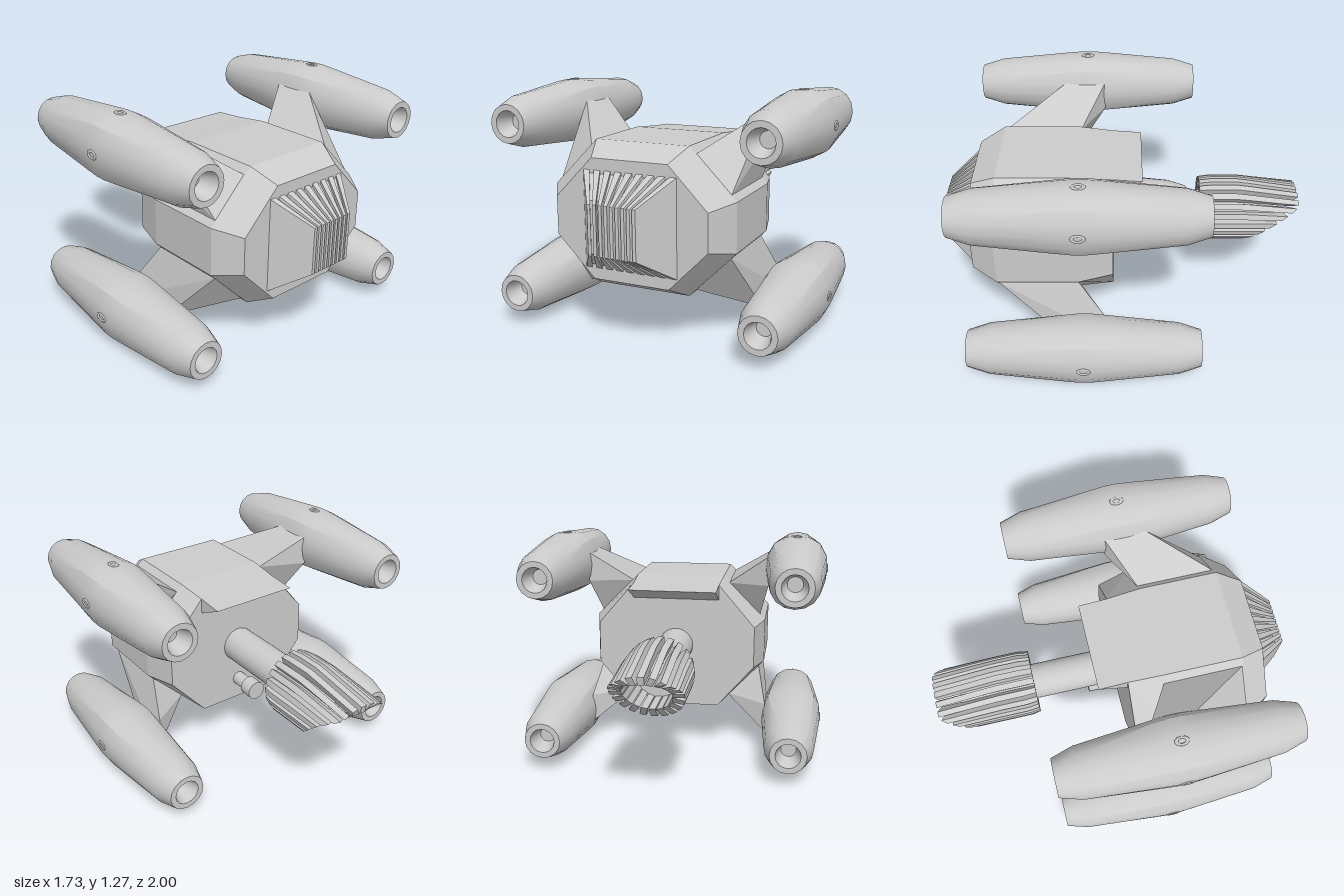
import * as THREE from 'three';
import { toCreasedNormals } from 'three/addons/utils/BufferGeometryUtils.js';
import { ConvexGeometry } from 'three/addons/geometries/ConvexGeometry.js';

const MID = 0.637; // height of the hull axis

export function createModel() {
  const model = new THREE.Group();
  const grey = new THREE.MeshStandardMaterial({ color: 0xcccccc });
  const greyTwoSided = new THREE.MeshStandardMaterial({ color: 0xcccccc, side: THREE.DoubleSide });

  const add = (name, geometry, parent = model, material = grey) => {
    const mesh = new THREE.Mesh(geometry, material);
    mesh.name = name;
    parent.add(mesh);
    return mesh;
  };
  const hull = points => new ConvexGeometry(points.map(p => new THREE.Vector3(...p)));
  // Cylinder lying along z between two depths
  const rod = (r, z0, z1, y, sides = 32) =>
    toCreasedNormals(new THREE.CylinderGeometry(r, r, Math.abs(z1 - z0), sides)
      .rotateX(Math.PI / 2).translate(0, y, (z0 + z1) / 2), 0.6);
  const moveVertices = (geometry, rule) => {
    const pos = geometry.attributes.position;
    const v = new THREE.Vector3();
    for (let i = 0; i < pos.count; i++) {
      rule(v.fromBufferAttribute(pos, i));
      pos.setXYZ(i, v.x, v.y, v.z);
    }
    geometry.computeVertexNormals();
    return geometry;
  };

  // Octagonal body, bevelled at the front and tapering slightly at the back
  const octagon = (a, ah, b, bh, z) => [1, -1].flatMap(sx => [1, -1].flatMap(sy =>
    [[sx * a, MID + sy * ah, z], [sx * b, MID + sy * bh, z]]));
  add('body', hull([
    ...octagon(0.25, 0.365, 0.46, 0.12, 0.05),
    ...octagon(0.26, 0.385, 0.512, 0.13, 0.24),
    ...octagon(0.26, 0.385, 0.512, 0.13, 0.68),
    ...octagon(0.21, 0.315, 0.42, 0.1, 0.82),
  ]));

  // Wedge overhanging the back of the body
  add('rearOverhang', hull([-0.25, 0.25].flatMap(x =>
    [[x, 0.91, 0.06], [x, 1.003, 0.06], [x, 0.99, -0.11]])));

  // Nose: recessed core and a fan of slats between plain cheeks
  const rect = (x, y, z) => [1, -1].flatMap(sx => [1, -1].map(sy => [sx * x, MID + sy * y, z]));
  add('noseCore', hull([...rect(0.25, 0.245, 0.81), ...rect(0.15, 0.135, 0.95)]));
  const nose = new THREE.Group();
  nose.name = 'noseGrille';
  model.add(nose);
  const slats = 9, pitch = 2 / (slats - 0.4);
  for (let i = 0; i < slats; i++) {
    const u0 = -1 + i * pitch, u1 = u0 + pitch * 0.6;
    add('noseSlat', hull([u0, u1].flatMap(u => [1, -1].flatMap(s =>
      [[0.26 * u, MID + s * 0.258, 0.815], [0.13 * u, MID + s * 0.128, 1]]))), nose);
  }

  // Tail tube and the knob below it
  add('tailTube', rod(0.1, 0.06, -0.46, MID));
  add('knobNeck', rod(0.04, 0.06, -0.06, 0.4, 20));
  add('knobHead', rod(0.055, -0.05, -0.13, 0.4, 20));

  // Finned exhaust, cut off at a slant
  const exhaust = new THREE.Group();
  exhaust.name = 'exhaust';
  model.add(exhaust);
  const zStart = -0.44;
  const slantEnd = y => -0.66 - 1.08 * (Math.min(y, 0.77) - 0.455);
  const shapeExhaust = cap => v => {
    // v.z runs from 0 at the front to -1 at the slanted end
    const end = Math.max(slantEnd(v.y + MID), cap);
    v.z = zStart - v.z * (end - zStart);
    const droop = Math.max(0, (-v.z - 0.66) / 0.34);
    v.y = MID + v.y * (v.y > 0 ? 1 - 0.3 * droop : 1);
  };
  const fins = 20;
  const shapeFin = shapeExhaust(-1);
  for (let i = 0; i < fins; i++) {
    const fin = new THREE.BoxGeometry(0.034, 0.062, 1, 1, 1, 8)
      .translate(0, 0.156, -0.5).rotateZ(i / fins * Math.PI * 2);
    add('exhaustFin', toCreasedNormals(moveVertices(fin, v => {
      if (v.z > -0.01) { v.x *= 0.95; v.y *= 0.95; } // bevelled front
      shapeFin(v);
    }), 0.5), exhaust);
  }
  const liner = new THREE.CylinderGeometry(0.14, 0.14, 1, 40, 8, true)
    .rotateX(Math.PI / 2).translate(0, 0, -0.5);
  add('exhaustLiner', moveVertices(liner, shapeExhaust(-0.86)), exhaust, greyTwoSided);
  add('exhaustFloor', rod(0.141, -0.445, -0.52, MID), exhaust);

  // Engine pods and struts, one per corner
  const half = [[0.176, 0.03], [0.17, 0.12], [0.138, 0.52], [0.102, 0.64], [0.07, 0.64], [0.042, 0.54], [0, 0.54]];
  const profile = [
    ...half.map(([r, z]) => [r, -z]).reverse(), ...half,
  ].map(p => new THREE.Vector2(...p));
  const podGeometry = toCreasedNormals(moveVertices(
    new THREE.LatheGeometry(profile, 16).rotateX(Math.PI / 2), v => {
      // Cross-section slightly squared towards the middle
      const a = Math.atan2(v.y, v.x);
      const k = 1 + 0.07 * (1 - Math.abs(v.z) / 0.64) * Math.sin(2 * a) ** 2;
      v.x *= k; v.y *= k;
    }), 0.5);
  const portGeometry = new THREE.TorusGeometry(0.026, 0.01, 6, 12);

  for (const sx of [1, -1]) for (const sy of [1, -1]) {
    const corner = new THREE.Group();
    corner.name = (sy > 0 ? 'upper' : 'lower') + (sx > 0 ? 'Left' : 'Right') + 'Engine';
    model.add(corner);

    const pod = add('enginePod', podGeometry, corner);
    pod.position.set(sx * 0.685, 0.635 + sy * 0.458, 0.207);

    // Small oval ports on the outer side and on the top or bottom
    const sidePort = add('sidePort', portGeometry, pod);
    sidePort.position.set(sx * 0.174, 0, 0);
    sidePort.rotation.y = Math.PI / 2;
    sidePort.scale.set(1.1, 0.7, 0.6);
    const facePort = add('facePort', portGeometry, pod);
    facePort.position.set(0, sy * 0.174, 0);
    facePort.rotation.x = Math.PI / 2;
    facePort.scale.set(0.7, 1.1, 0.6);

    // Tapered strut swept back from the body chamfer to the pod
    add('strut', hull([
      [0.29, 0.345, 0.24], [0.29, 0.345, 0.68], [0.48, 0.155, 0.24], [0.48, 0.155, 0.68],
      [0.53, 0.53, 0.1], [0.53, 0.53, 0.33], [0.53, 0.36, 0.1], [0.53, 0.36, 0.33],
    ].map(([x, y, z]) => [sx * x, MID + sy * y, z])), corner);
  }
  return model;
}
